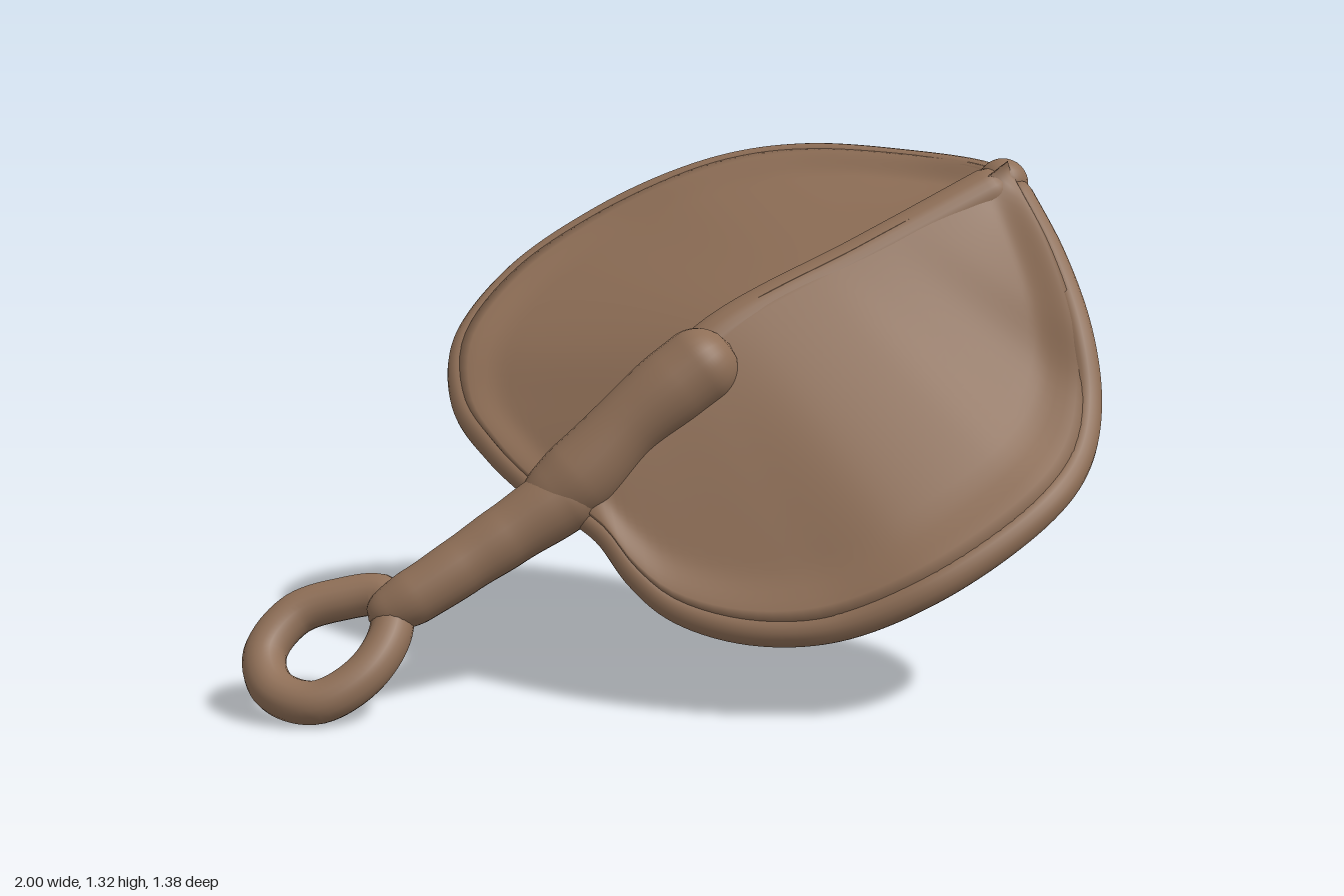
import * as THREE from 'three';
import { mergeVertices } from 'three/addons/utils/BufferGeometryUtils.js';

const V = (p) => new THREE.Vector3(...p);
const curveOf = (pts, closed = false) => new THREE.CatmullRomCurve3(pts.map(V), closed);
const UP = new THREE.Vector3(0, Math.SQRT1_2, Math.SQRT1_2); // normal of the leaf

// smooth normals without a seam
function weld(geo) {
  geo.deleteAttribute('uv');
  geo.deleteAttribute('normal');
  const g = mergeVertices(geo, 1e-5);
  g.computeVertexNormals();
  return g;
}

// tube along a curve with changing radius and rounded ends
function taperTube(curve, radii, steps = 72, sides = 24) {
  const geo = new THREE.TubeGeometry(curve, steps, 1, sides);
  const length = curve.getLength();
  const pos = geo.attributes.position;
  const p = new THREE.Vector3();
  for (let i = 0; i <= steps; i++) {
    const t = i / steps;
    const f = t * (radii.length - 1);
    const k = Math.min(Math.floor(f), radii.length - 2);
    let r = THREE.MathUtils.lerp(radii[k], radii[k + 1], THREE.MathUtils.smoothstep(f - k, 0, 1));
    const end = Math.min(t, 1 - t) * length;
    if (end < r) r *= Math.sqrt(Math.max(1 - (1 - end / r) ** 2, 1e-5));
    const c = curve.getPointAt(t);
    for (let j = 0; j <= sides; j++) {
      const n = i * (sides + 1) + j;
      p.fromBufferAttribute(pos, n).sub(c).multiplyScalar(r).add(c);
      pos.setXYZ(n, p.x, p.y, p.z);
    }
  }
  return weld(geo);
}

// shell stretched between the spine and one rim, swelling softly into the rim
function lobeGeometry(spine, rim, lift, flip) {
  const along = 64, across = 24;
  const ring = 2 * (across + 1);
  const verts = [], index = [];
  for (let i = 0; i <= along; i++) {
    const a = spine.getPointAt(i / along), b = rim.getPointAt(i / along);
    const width = a.distanceTo(b);
    for (let j = 0; j < ring; j++) {
      const front = j <= across;
      const s = (front ? j : ring - 1 - j) / across;
      const swell = 1 - THREE.MathUtils.smoothstep((1 - s) * width, 0, 0.15);
      const half = 0.02 + 0.02 * swell;
      const h = lift * (1 - s) - 0.008 * Math.sin(Math.PI * s) + (front ? half : -half);
      const p = a.clone().lerp(b, s).addScaledVector(UP, h);
      verts.push(p.x, p.y, p.z);
    }
  }
  for (let i = 0; i < along; i++) {
    for (let j = 0; j < ring; j++) {
      const k = (j + 1) % ring;
      const a = i * ring + j, b = i * ring + k, c = a + ring, d = b + ring;
      if (flip) index.push(a, b, c, b, d, c);
      else index.push(a, c, b, b, c, d);
    }
  }
  const geo = new THREE.BufferGeometry();
  geo.setAttribute('position', new THREE.Float32BufferAttribute(verts, 3));
  geo.setIndex(index);
  geo.computeVertexNormals();
  return geo;
}

export function createModel() {
  const group = new THREE.Group();
  const brown = new THREE.MeshStandardMaterial({ color: 0x8f6f57, side: THREE.DoubleSide });
  brown.name = 'brown';
  const add = (name, geo) => {
    const mesh = new THREE.Mesh(geo, brown);
    mesh.name = name;
    group.add(mesh);
    return mesh;
  };

  // spine running from the handle to the tip
  const spine = curveOf([
    [-0.26, 0.46, 0.265], [-0.1, 0.66, 0.165], [0.06, 0.85, 0.055],
    [0.4, 1.04, -0.145], [0.75, 1.23, -0.35],
  ]);
  add('spine', taperTube(spine, [0.06, 0.07, 0.065, 0.065, 0.068]));

  // rounded knob closing the tip
  add('tipKnob', weld(new THREE.SphereGeometry(0.066, 24, 16))).position.set(0.735, 1.228, -0.355);

  // two lobes with thick rounded rims
  const upperRim = curveOf([
    [-0.26, 0.435, 0.25], [-0.39, 0.485, 0.14], [-0.52, 0.555, 0.015], [-0.64, 0.65, -0.13],
    [-0.68, 0.79, -0.28], [-0.58, 0.96, -0.46], [-0.39, 1.1, -0.57], [-0.19, 1.2, -0.615],
    [0, 1.26, -0.64], [0.2, 1.283, -0.625], [0.48, 1.27, -0.53], [0.67, 1.25, -0.41], [0.74, 1.23, -0.35],
  ]);
  const lowerRim = curveOf([
    [-0.26, 0.46, 0.27], [-0.17, 0.41, 0.31], [-0.08, 0.32, 0.355], [0.02, 0.255, 0.385],
    [0.2, 0.217, 0.41], [0.4, 0.235, 0.415], [0.63, 0.335, 0.385], [0.86, 0.49, 0.24],
    [0.94, 0.59, 0.11], [0.96, 0.71, 0], [0.935, 0.87, -0.09], [0.865, 1.05, -0.21], [0.76, 1.23, -0.34],
  ]);
  add('upperLobe', lobeGeometry(spine, upperRim, 0.015, true));
  add('lowerLobe', lobeGeometry(spine, lowerRim, 0.045, false));
  const rimRadii = [0.03, 0.04, 0.041, 0.041, 0.038];
  add('upperRim', taperTube(upperRim, rimRadii, 110, 16));
  add('lowerRim', taperTube(lowerRim, rimRadii, 110, 16));

  // handle from the loop to the leaf
  const handle = curveOf([
    [-0.71, 0.215, 0.49], [-0.6, 0.275, 0.45], [-0.45, 0.375, 0.365], [-0.3, 0.475, 0.29], [-0.2, 0.53, 0.26],
  ]);
  add('handle', taperTube(handle, [0.048, 0.068, 0.072, 0.078, 0.085, 0.08]));

  // swollen grip end lying on the leaf
  const knuckle = curveOf([[-0.37, 0.45, 0.31], [-0.25, 0.535, 0.262], [-0.12, 0.675, 0.212], [0.1, 0.855, 0.12]]);
  add('knuckle', taperTube(knuckle, [0.07, 0.098, 0.088, 0.098, 0.1]));

  // teardrop hanging loop
  const loop = curveOf([
    [-0.948, 0.14], [-0.9, 0.218], [-0.8, 0.252], [-0.69, 0.262],
    [-0.652, 0.2], [-0.69, 0.11], [-0.79, 0.053], [-0.9, 0.072],
  ].map(([x, y]) => [x, y, 0.695 - y]), true);
  add('hangingLoop', weld(new THREE.TubeGeometry(loop, 64, 0.052, 18, true)));

  return group;
}
